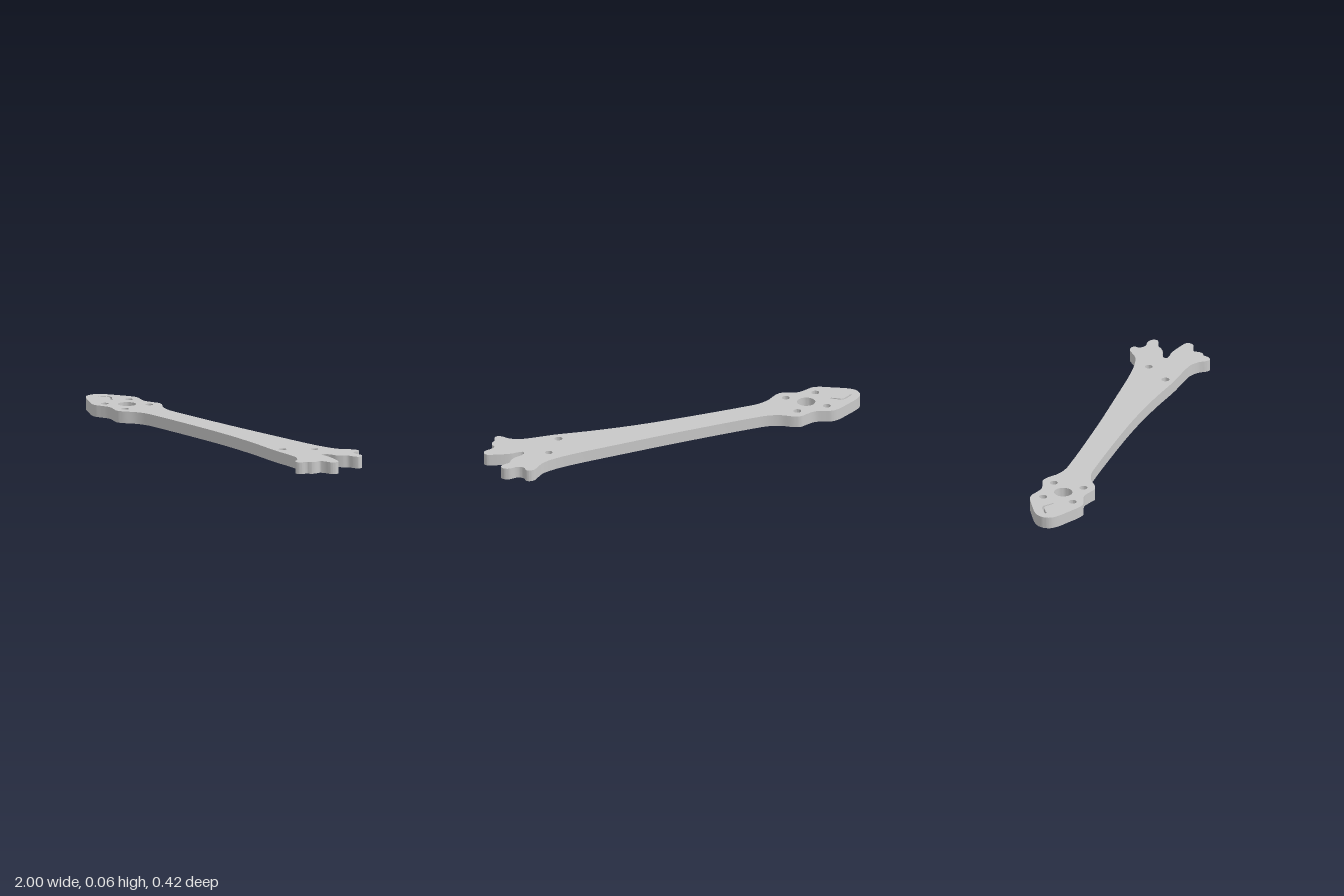
import * as THREE from 'three';
import { toCreasedNormals } from 'three/addons/utils/BufferGeometryUtils.js';

const THICKNESS = 0.06;

// Plan outline as [x, z], running from the rounded tip along the back edge
const OUTLINE = [
  [-1, 0], [-0.992, -0.035], [-0.965, -0.064], [-0.9, -0.103], [-0.835, -0.137],
  [-0.8, -0.143], [-0.765, -0.132], [-0.715, -0.119], [-0.665, -0.132], [-0.63, -0.143],
  [-0.595, -0.132], [-0.54, -0.095], [-0.48, -0.077], [-0.4, -0.074], [0, -0.083],
  [0.3, -0.098], [0.6, -0.117], [0.7, -0.132], [0.765, -0.153], [0.81, -0.19],
  [0.83, -0.205], [0.855, -0.208], [0.872, -0.195], [0.87, -0.172], [0.885, -0.152],
  [0.905, -0.146], [0.945, -0.15], [0.97, -0.136], [0.975, -0.112], [0.953, -0.097],
  [0.92, -0.088], [0.9, -0.065], [0.875, -0.046], [0.835, -0.034], [0.812, -0.018],
  [0.812, -0.001], [0.835, 0.003], [0.875, 0.002], [0.965, 0.024], [0.993, 0.036],
  [1, 0.055], [0.985, 0.078], [0.95, 0.088], [0.925, 0.102], [0.927, 0.13],
  [0.918, 0.152], [0.9, 0.165], [0.89, 0.192], [0.87, 0.208], [0.848, 0.197],
  [0.825, 0.166], [0.78, 0.138], [0.7, 0.126], [0.6, 0.119], [0.4, 0.09],
  [0.2, 0.07], [0, 0.061], [-0.4, 0.059], [-0.48, 0.063], [-0.54, 0.083],
  [-0.595, 0.122], [-0.63, 0.135], [-0.665, 0.124], [-0.715, 0.11], [-0.765, 0.123],
  [-0.8, 0.135], [-0.835, 0.128], [-0.9, 0.094], [-0.965, 0.057], [-0.992, 0.03],
];

// Round holes as [x, z, radius]
const HOLES = [
  [-0.714, -0.003, 0.046],
  [-0.794, -0.082, 0.02], [-0.635, -0.082, 0.02],
  [-0.794, 0.076, 0.02], [-0.635, 0.076, 0.02],
  [0.694, -0.055, 0.019], [0.593, 0.07, 0.02],
];

function roundHole([x, z, r]) {
  return new THREE.Path().absarc(x, -z, r, 0, Math.PI * 2, true);
}

// One half of the thin diamond slot; side is +1 (front) or -1 (back)
function chevronSlot(side) {
  const cx = -0.895, cz = -0.004;
  const points = [
    [-0.062, 0.004], [-0.053, 0.017], [-0.012, 0.043], [0.01, 0.043], [0.06, 0.004],
    [0.046, 0.004], [0.007, 0.033], [-0.009, 0.033], [-0.046, 0.011], [-0.05, 0.004],
  ];
  return new THREE.Path(points.map(([x, z]) => new THREE.Vector2(cx + x, -(cz + side * z))));
}

export function createModel() {
  const group = new THREE.Group();
  group.name = 'droneArm';
  const grey = new THREE.MeshStandardMaterial({ color: 0xc8c8c8 });
  grey.name = 'plate grey';

  // Smooth closed outline, turned counter-clockwise so the hole walls face inward
  const curve = new THREE.CatmullRomCurve3(
    OUTLINE.map(([x, z]) => new THREE.Vector3(x, -z, 0)), true, 'centripetal');
  const points = curve.getPoints(OUTLINE.length * 5).slice(0, -1).reverse();
  const shape = new THREE.Shape(points.map((p) => new THREE.Vector2(p.x, p.y)));
  shape.holes.push(...HOLES.map(roundHole), chevronSlot(1), chevronSlot(-1));

  // Flat plate laid on the ground plane
  const plate = new THREE.ExtrudeGeometry(shape, {
    depth: THICKNESS, bevelEnabled: false, curveSegments: 16,
  });
  plate.rotateX(-Math.PI / 2);

  const arm = new THREE.Mesh(toCreasedNormals(plate, 0.6), grey);
  arm.name = 'armPlate';
  group.add(arm);
  return group;
}
